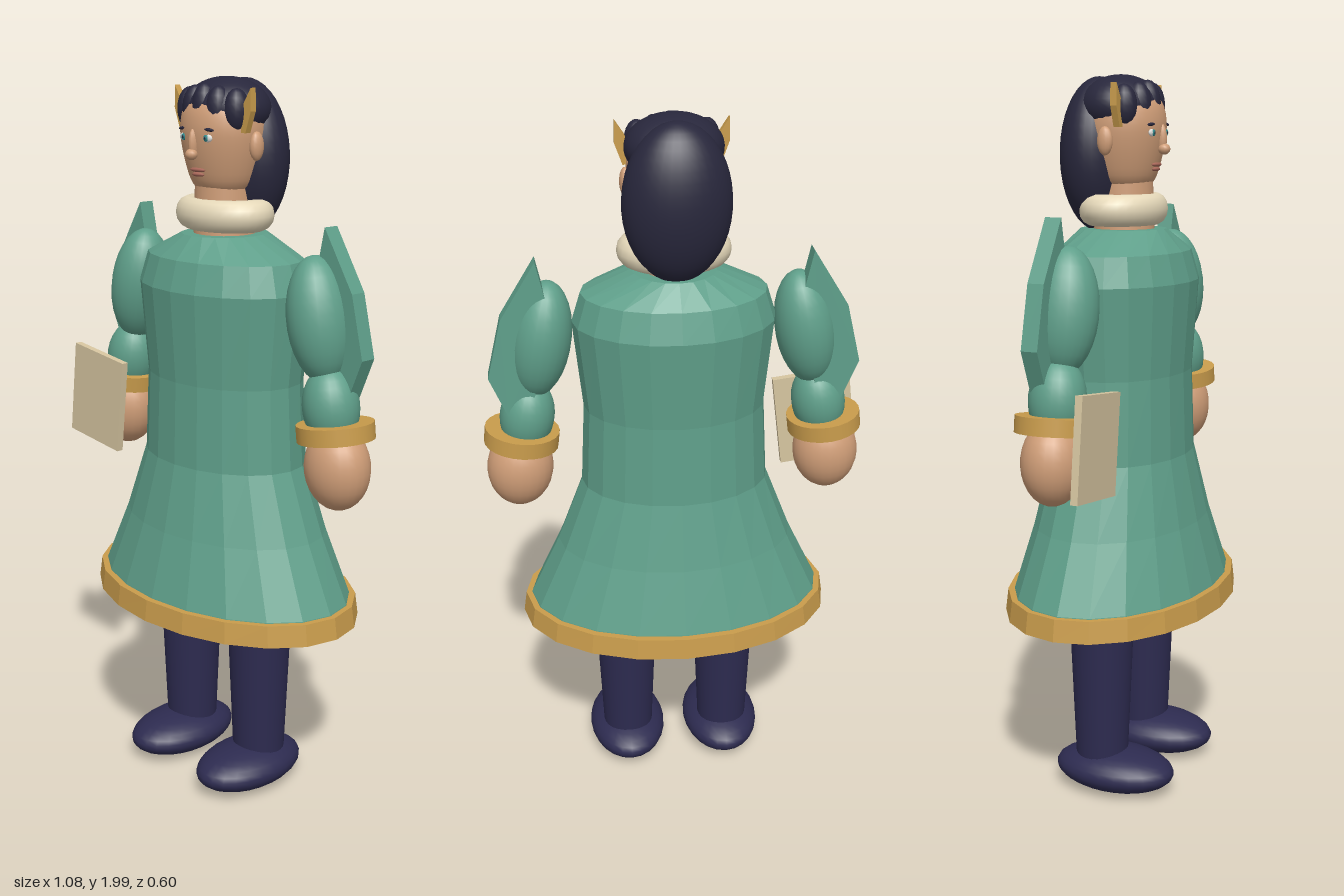
import * as THREE from 'three';

const mat = (name, color, flat) => {
  const m = new THREE.MeshStandardMaterial({ color, flatShading: !!flat });
  m.name = name;
  return m;
};

export function createModel() {
  const green = mat('greenCloth', 0x5f9f8a);
  const gold = mat('gold', 0xc99c4c);
  const skin = mat('skin', 0xd09e78);
  const hair = mat('darkHair', 0x28273c);
  const navy = mat('navy', 0x2d2b50);
  const cream = mat('cream', 0xe6d9ba);
  const tan = mat('parchment', 0xd6c5a0);
  const white = mat('eyeWhite', 0xeeeeea);
  const teal = mat('iris', 0x2f8a8c);
  const lip = mat('lips', 0xa9685a);

  const model = new THREE.Group();
  model.name = 'figure';
  const body = new THREE.Group();
  body.name = 'body';
  body.position.x = 0.008;
  model.add(body);

  const add = (name, geo, m, x = 0, y = 0, z = 0, rz = 0) => {
    const mesh = new THREE.Mesh(geo, m);
    mesh.name = name;
    mesh.position.set(x, y, z);
    mesh.rotation.z = rz;
    body.add(mesh);
    return mesh;
  };
  const ball = (name, m, r, p, rz = 0, seg = 24) => {
    const geo = new THREE.SphereGeometry(1, seg, Math.max(8, seg * 0.66 | 0));
    geo.scale(...r);
    return add(name, geo, m, ...p, rz);
  };
  // Flat outline extruded along z, centred on z = 0
  const plate = (points, depth) => {
    const shape = new THREE.Shape(points.map(([x, y]) => new THREE.Vector2(x, y)));
    const geo = new THREE.ExtrudeGeometry(shape, { depth, bevelEnabled: false });
    return geo.translate(0, 0, -depth / 2);
  };
  // Faceted loft through elliptical rings [y, rx, rz], capped at both ends
  const loft = (rings, n) => {
    const pos = [], idx = [];
    rings.forEach(([y, rx, rz]) => {
      for (let i = 0; i < n; i++) {
        const a = i / n * Math.PI * 2;
        pos.push(Math.sin(a) * rx, y, Math.cos(a) * rz);
      }
    });
    for (let r = 0; r < rings.length - 1; r++) {
      for (let i = 0; i < n; i++) {
        const j = (i + 1) % n, a = r * n + i, b = r * n + j;
        idx.push(a, b, b + n, a, b + n, a + n);
      }
    }
    const top = (rings.length - 1) * n;
    for (let i = 1; i < n - 1; i++) idx.push(0, i + 1, i, top, top + i, top + i + 1);
    const indexed = new THREE.BufferGeometry();
    indexed.setAttribute('position', new THREE.Float32BufferAttribute(pos, 3));
    indexed.setIndex(idx);
    const geo = indexed.toNonIndexed();
    geo.computeVertexNormals();
    return geo;
  };

  // Robe and hem
  add('robe', loft([
    [0.534, 0.432, 0.288], [0.6, 0.42, 0.275], [0.78, 0.335, 0.227], [0.97, 0.262, 0.188],
    [1.2, 0.25, 0.181], [1.45, 0.275, 0.197], [1.53, 0.25, 0.174], [1.59, 0.115, 0.12],
  ], 20), green);
  add('hemTrim', loft([[0.538, 0.446, 0.301], [0.598, 0.437, 0.294]], 20), gold);

  // Collar and neck
  const collar = new THREE.TorusGeometry(0.109, 0.043, 14, 32);
  collar.rotateX(Math.PI / 2);
  collar.scale(1, 1, 0.76);
  add('collar', collar, cream, 0, 1.642, 0);
  add('neck', new THREE.CylinderGeometry(0.08, 0.085, 0.16, 24), skin, 0, 1.65, 0);

  // Head
  const profile = [[0, 1.69], [0.055, 1.697], [0.087, 1.72], [0.106, 1.77], [0.119, 1.83],
    [0.121, 1.88], [0.106, 1.93], [0.06, 1.97], [0, 1.98]];
  const curve = new THREE.SplineCurve(profile.map(([x, y]) => new THREE.Vector2(x, y)));
  const headPoints = curve.getPoints(24).map(p => new THREE.Vector2(Math.max(p.x, 0), p.y));
  const headGeo = new THREE.LatheGeometry(headPoints, 32);
  headGeo.scale(1, 1, 0.92);
  add('head', headGeo, skin, 0, 0, 0.003);

  // Nose and mouth
  ball('noseBridge', skin, [0.012, 0.04, 0.016], [0, 1.83, 0.111], 0, 12);
  ball('noseTip', skin, [0.017, 0.015, 0.017], [0, 1.803, 0.119], 0, 12);
  ball('upperLip', lip, [0.03, 0.006, 0.008], [0, 1.762, 0.097], 0, 12);
  ball('lowerLip', lip, [0.024, 0.006, 0.008], [0, 1.75, 0.095], 0, 12);

  // Hair
  ball('backHair', hair, [0.142, 0.208, 0.1], [0, 1.787, -0.072], 0, 32);
  ball('hairCap', hair, [0.128, 0.085, 0.11], [0, 1.914, -0.008], 0, 32);
  for (let i = -2; i <= 2; i++) {
    const a = Math.abs(i);
    ball('fringeLock', hair, [0.034, 0.062 - a * 0.002, 0.036],
      [i * 0.045, 1.922 - a * 0.004, 0.07 - a * a * 0.007], 0, 16);
  }

  for (const s of [1, -1]) {
    const mirrored = pts => pts.map(([x, y]) => [x * s, y]);

    // Eyes, brows and ears
    ball('eyeWhite', white, [0.02, 0.011, 0.006], [s * 0.043, 1.846, 0.1025], 0, 12);
    ball('iris', teal, [0.009, 0.009, 0.004], [s * 0.043, 1.846, 0.1068], 0, 10);
    ball('pupil', hair, [0.004, 0.004, 0.003], [s * 0.043, 1.846, 0.109], 0, 8);
    ball('eyebrow', hair, [0.025, 0.005, 0.007], [s * 0.044, 1.868, 0.102], s * -0.08, 10);
    ball('ear', skin, [0.016, 0.038, 0.022], [s * 0.124, 1.825, 0.002], 0, 14);

    // Pointed gold headpiece
    add('headpieceHorn', plate(mirrored([[0.104, 1.86], [0.128, 1.86], [0.148, 1.915],
      [0.147, 1.974], [0.118, 1.93]]), 0.018), gold, 0, 0, 0.038);

    // Arms
    ball('upperSleeve', green, [0.083, 0.166, 0.09], [s * 0.359, 1.402, 0], s * 0.17);
    ball('lowerSleeve', green, [0.075, 0.108, 0.076], [s * 0.405, 1.18, 0], s * 0.15);
    add('cuff', new THREE.CylinderGeometry(0.103, 0.103, 0.045, 24), gold,
      s * 0.423, 1.118, 0, s * 0.12);
    ball('hand', skin, [0.092, 0.115, 0.083], [s * 0.432, 1.022, 0], s * 0.08);

    // Pointed shoulder panel behind the arm
    add('shoulderPanel', plate(mirrored([[0.365, 1.638], [0.463, 1.48], [0.503, 1.315],
      [0.455, 1.2], [0.4, 1.16], [0.335, 1.5]]), 0.046), green, 0, 0, -0.028);

    // Legs and shoes
    add('leg', new THREE.CylinderGeometry(0.093, 0.073, 0.48, 24), navy, s * 0.146, 0.32, 0);
    ball('shoe', navy, [0.114, 0.061, 0.177], [s * 0.146, 0.066, 0.04]);
  }

  // Sheet held in the right hand
  add('parchmentSheet', new THREE.BoxGeometry(0.222, 0.272, 0.02), tan, -0.423, 1.07, 0.117, -0.12);

  return model;
}
